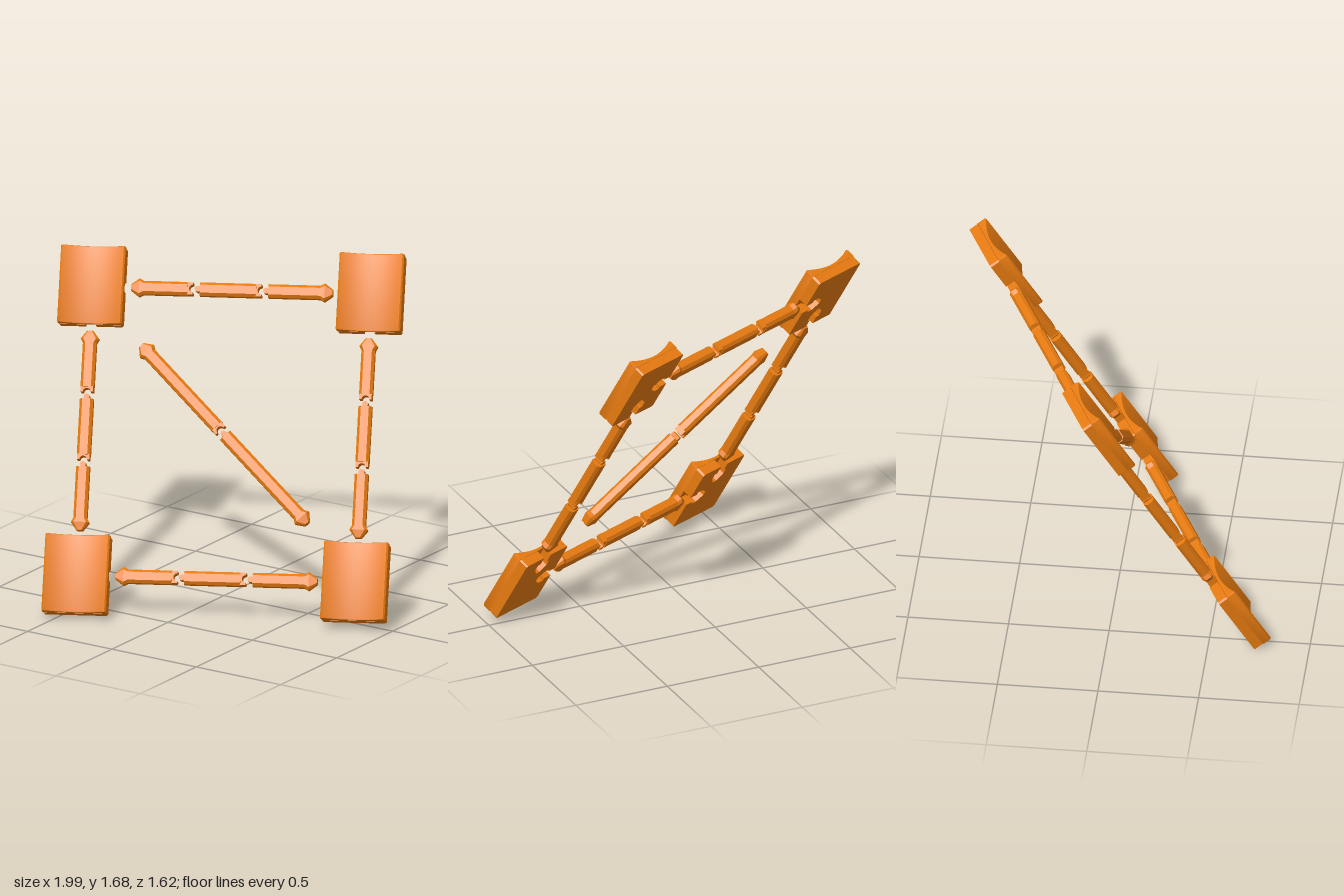
import * as THREE from 'three';
import { toCreasedNormals } from 'three/addons/utils/BufferGeometryUtils.js';

const flat = new THREE.MeshStandardMaterial({ color: 0xe67a10, flatShading: true });
const smooth = new THREE.MeshStandardMaterial({ color: 0xe67a10 });

// Rod sizes: half width, half thickness, chamfer; rods sit a little behind the pad middle
const HW = 0.034, HT = 0.029, CH = 0.014, ROD_Z = -0.025;
// Frame pitch (half distances between pad centres) and pad size
const PX = 0.695, PY = 0.727, PAD_W = 0.322, PAD_H = 0.392, PAD_D = 0.1;

function mesh(name, geometry, material = flat) {
  const m = new THREE.Mesh(geometry, material);
  m.name = name;
  return m;
}

function polygon(points) {
  return new THREE.Shape(points.map(([x, y]) => new THREE.Vector2(x, y)));
}

// Chamfered bar along x through stations [x, half width, half thickness]
function chamferedBar(stations) {
  const rings = stations.map(([x, w, t]) => {
    const c = Math.min(CH, w * 0.45);
    return [[w, -t + c], [w, t - c], [w - c, t], [-w + c, t],
      [-w, t - c], [-w, -t + c], [-w + c, -t], [w - c, -t]].map(([y, z]) => [x, y, z]);
  });
  const pos = [];
  const tri = (...p) => p.forEach((q) => pos.push(...q));
  for (let i = 0; i < rings.length - 1; i++) {
    for (let j = 0; j < 8; j++) {
      const k = (j + 1) % 8, a = rings[i], b = rings[i + 1];
      tri(a[j], a[k], b[k]);
      tri(a[j], b[k], b[j]);
    }
  }
  const first = rings[0], last = rings[rings.length - 1];
  for (let j = 1; j < 7; j++) {
    tri(first[0], first[j + 1], first[j]);
    tri(last[0], last[j], last[j + 1]);
  }
  const g = new THREE.BufferGeometry();
  g.setAttribute('position', new THREE.Float32BufferAttribute(pos, 3));
  g.computeVertexNormals();
  return g;
}

// One rod piece from x0 to x1: arrow head, or ball at its start and socket at its end
function rodSegment(x0, x1, isFirst, isLast) {
  const group = new THREE.Group();
  group.name = 'rodSegment';
  const bar = [];
  if (isFirst) bar.push([x0, 0.016, 0.02], [x0 + 0.04, 0.046, HT], [x0 + 0.062, HW, HT]);
  else bar.push([x0 + 0.024, HW, HT]);
  if (isLast) bar.push([x1 - 0.062, HW, HT], [x1 - 0.04, 0.046, HT], [x1, 0.016, 0.02]);
  else bar.push([x1 - 0.026, HW, HT]);
  group.add(mesh('rod', chamferedBar(bar)));

  if (!isFirst) {
    const ball = mesh('jointBall', new THREE.CylinderGeometry(0.015, 0.015, 0.044, 12).rotateX(Math.PI / 2));
    ball.position.x = x0 + 0.013;
    const neck = mesh('jointNeck', new THREE.BoxGeometry(0.02, 0.018, 0.044));
    neck.position.x = x0 + 0.022;
    group.add(ball, neck);
  }
  if (!isLast) {
    // Fork with a round bite taken out of its end
    const s = new THREE.Shape();
    const w = HW - 0.003, r = 0.019;
    s.moveTo(x1 - 0.028, -w);
    s.lineTo(x1, -w);
    s.lineTo(x1, -r);
    s.absarc(x1, 0, r, -Math.PI / 2, Math.PI / 2, true);
    s.lineTo(x1, w);
    s.lineTo(x1 - 0.028, w);
    const g = new THREE.ExtrudeGeometry(s, { depth: 0.05, bevelEnabled: false, curveSegments: 10 });
    group.add(mesh('jointSocket', g.translate(0, 0, -0.025)));
  }
  return group;
}

// Row of rod pieces; breaks are fractions of the length
function chain(name, length, breaks, x, y, angle) {
  const group = new THREE.Group();
  group.name = name;
  const marks = [0, ...breaks, 1].map((f) => (f - 0.5) * length);
  const last = marks.length - 2;
  for (let i = 0; i <= last; i++) {
    const start = marks[i] + (i > 0 ? 0.002 : 0);
    const end = marks[i + 1] - (i < last ? 0.008 : 0);
    group.add(rodSegment(start, end, i === 0, i === last));
  }
  group.position.set(x, y, ROD_Z);
  group.rotation.z = angle;
  return group;
}

// Corner pad: dished front slab on a back plate with two arrow pockets facing inward
function cornerPad(name, sx, sy) {
  const group = new THREE.Group();
  group.name = name;
  const w = PAD_W / 2, h = PAD_H / 2, d = PAD_D / 2, b = 0.006;

  const front = new THREE.Shape();
  front.moveTo(-w, 0);
  front.lineTo(w, 0);
  front.lineTo(w, d - 0.008);
  front.lineTo(w - 0.008, d);
  front.quadraticCurveTo(0, d - 0.066, -w + 0.008, d);
  front.lineTo(-w, d - 0.008);
  const slab = new THREE.ExtrudeGeometry(front, {
    depth: PAD_H - 2 * b, bevelThickness: b, bevelSize: b, bevelOffset: -b, bevelSegments: 2, curveSegments: 24,
  });
  slab.translate(0, 0, -h + b).rotateX(Math.PI / 2);
  group.add(mesh('dishedFace', toCreasedNormals(slab, 0.4), smooth));

  // Pocket outline as [distance in from the edge, sideways offset]
  const pocket = [[0, 0.026], [0.05, 0.026], [0.05, 0.044], [0.085, 0.044], [0.125, 0.014]];
  const outline = [...pocket, ...pocket.slice().reverse().map(([a, o]) => [a, -o])];
  // Pockets on the +x and +y edges, then mirrored into place
  const c = 0.008;
  const points = [[-w, -h + c], [-w + c, -h], [w - c, -h], [w, -h + c],
    ...outline.map(([a, o]) => [w - a, -o]),
    [w, h - c], [w - c, h],
    ...outline.map(([a, o]) => [o, h - a]),
    [-w + c, h], [-w, h - c]].map(([x, y]) => [x * sx, y * sy]);
  const plate = new THREE.ExtrudeGeometry(polygon(points), { depth: d, bevelEnabled: false });
  group.add(mesh('pocketPlate', plate.translate(0, 0, -d)));
  return group;
}

export function createModel() {
  const model = new THREE.Group();
  model.name = 'linkedFrame';

  // Everything is laid out flat, then tilted as one
  const frame = new THREE.Group();
  frame.name = 'tiltedFrame';
  for (const sx of [-1, 1]) {
    for (const sy of [-1, 1]) {
      const pad = cornerPad((sy > 0 ? 'upper' : 'lower') + (sx > 0 ? 'Left' : 'Right') + 'Pad', -sx, -sy);
      pad.position.set(sx * PX, sy * PY, 0);
      frame.add(pad);
    }
    frame.add(chain(sx > 0 ? 'leftChain' : 'rightChain', 1.005, [0.315, 0.655], sx * PX, 0, -Math.PI / 2));
    frame.add(chain(sx > 0 ? 'topChain' : 'bottomChain', 1.005, [0.315, 0.655], 0, sx * PY, 0));
  }
  frame.add(chain('diagonalChain', 1.235, [0.485], 0, 0, -Math.PI / 4));

  const u = new THREE.Vector3(0.903, 0.018, -0.432).normalize();
  const n = u.clone().cross(new THREE.Vector3(-0.2235, 0.87, -0.44)).normalize();
  const v = n.clone().cross(u);
  frame.quaternion.setFromRotationMatrix(new THREE.Matrix4().makeBasis(u, v, n));
  frame.position.y = 0.847;
  model.add(frame);
  return model;
}
